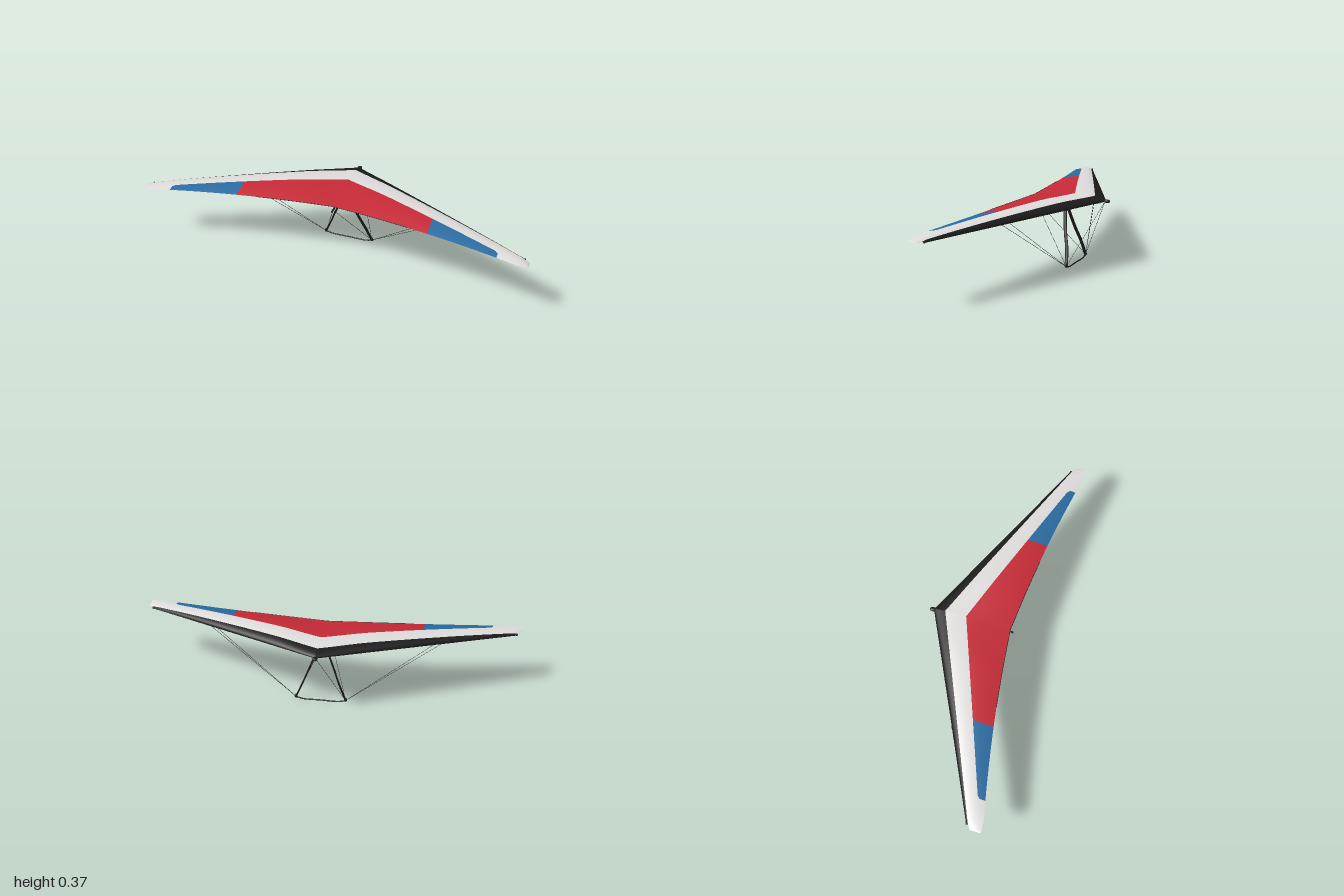
import * as THREE from 'three';

const mat = (name, color) => Object.assign(
  new THREE.MeshStandardMaterial({ color, side: THREE.DoubleSide }), { name });
const V = (x, y, z) => new THREE.Vector3(x, y, z);
const { lerp, smoothstep, clamp } = THREE.MathUtils;

// Planform: leading and trailing edge for a station a = |x|
const leadZ = a => -0.26 + 0.475 * a + 0.01 * smoothstep(a, 0.95, 1);
const trailZ = a => Math.min(0.279, 0.14 + 0.08 * a + 0.07 * a * a);
const leadY = a => 0.34 - 0.028 * a;
const trailY = a => 0.343 - 0.022 * a * a;
const chordAt = (a, z) => clamp((z - leadZ(a)) / (trailZ(a) - leadZ(a)), 0, 1);

// Point on the sail at span x and chord fraction t
function sailPoint(x, t, top) {
  const a = Math.abs(x);
  const fade = Math.sqrt(Math.max(0, 1 - a ** 24));
  const arch = 2.6 * Math.sqrt(t) * (1 - t);
  const base = lerp(leadY(a), trailY(a), t);
  const rise = (0.027 + 0.008 * smoothstep(a, 0, 0.25)) * (1 - 0.8 * a * a) * arch * fade;
  const belly = (t / 0.22 * Math.exp(1 - t / 0.22)) ** 1.5;
  const drop = (0.018 * Math.exp(-a / 0.15) * belly + 0.005 * (1 - a) * arch) * fade;
  return [x, top ? base + rise : base - drop, lerp(leadZ(a), trailZ(a), t)];
}

// Sail panel between two stations and two chord lines t0(a), t1(a)
function panelGeometry(x0, x1, t0, t1, top, nx = 28, nt = 14) {
  const pos = [], idx = [];
  for (let i = 0; i <= nx; i++) {
    const x = lerp(x0, x1, i / nx), a = Math.abs(x);
    for (let j = 0; j <= nt; j++) {
      const start = t0(a), u = start === 0 ? (j / nt) ** 2 : j / nt;
      pos.push(...sailPoint(x, lerp(start, t1(a), u), top));
      if (i < nx && j < nt) {
        const p = i * (nt + 1) + j, q = p + nt + 1;
        if (top) idx.push(p, p + 1, q, q, p + 1, q + 1);
        else idx.push(p, q, p + 1, q, q + 1, p + 1);
      }
    }
  }
  const g = new THREE.BufferGeometry();
  g.setAttribute('position', new THREE.Float32BufferAttribute(pos, 3));
  g.setIndex(idx);
  g.computeVertexNormals();
  return g;
}

export function createModel() {
  const black = mat('black', 0x1c1c1d), white = mat('sail white', 0xe0dedc);
  const red = mat('sail red', 0xc62a36), blue = mat('sail blue', 0x2a6ba2);
  const model = new THREE.Group();
  model.name = 'hangGlider';

  const add = (name, geo, material, parent) => {
    const m = new THREE.Mesh(geo, material);
    m.name = name;
    parent.add(m);
    return m;
  };
  const section = name => {
    const g = new THREE.Group();
    g.name = name;
    model.add(g);
    return g;
  };
  const rod = (name, a, b, r, parent, sides = 8) =>
    add(name, new THREE.TubeGeometry(new THREE.LineCurve3(a, b), 1, r, sides), black, parent);
  const ball = (name, p, rx, ry, rz, parent) => {
    const m = add(name, new THREE.SphereGeometry(1, 16, 12), black, parent);
    m.position.copy(p);
    m.scale.set(rx, ry, rz);
  };

  // Colour boundaries across the chord
  const zero = () => 0, one = () => 1;
  const bandEdge = a => chordAt(a, -0.2 + 0.42 * a);
  const colourEdge = a => {
    const d = clamp((a - 0.835) / 0.015, 0, 1);
    return chordAt(a, -0.09 + 0.367 * a + 0.008 * (1 - Math.sqrt(1 - d * d)));
  };
  const lowerEdge = a => {
    const k = clamp((a - 0.47) / 0.09, 0, 1);
    return lerp(colourEdge(a), 1, 1 - Math.sqrt(1 - k * k));
  };

  // Sail, both wings
  const sail = section('sail');
  for (const s of [1, -1]) {
    const panel = (name, a, b, t0, t1, top, material) => add(name,
      panelGeometry(s > 0 ? a : -b, s > 0 ? b : -a, t0, t1, top), material, sail);
    panel('leadingBand', 0, 0.985, zero, bandEdge, true, black);
    panel('upperSail', 0, 0.85, bandEdge, colourEdge, true, white);
    panel('upperTip', 0.85, 0.985, bandEdge, one, true, white);
    panel('upperTipEnd', 0.985, 1, zero, one, true, white);
    panel('upperCentrePanel', 0, 0.5, colourEdge, one, true, red);
    panel('upperOuterPanel', 0.5, 0.85, colourEdge, one, true, blue);
    panel('lowerSail', 0, 0.56, zero, lowerEdge, false, white);
    panel('lowerCentrePanel', 0, 0.56, lowerEdge, one, false, red);
    panel('lowerOuterSail', 0.56, 0.855, zero, one, false, white);
    panel('lowerTip', 0.855, 1, zero, one, false, black);
  }

  // Thin hem along the middle of the trailing edge
  const hem = [];
  for (let i = -8; i <= 8; i++) hem.push(V(...sailPoint(i * 0.05, 1, true)));
  add('trailingHem', new THREE.TubeGeometry(new THREE.CatmullRomCurve3(hem), 48, 0.0016, 6),
    black, sail);

  // Airframe: keel, nose and leading edge tubes
  const frame = section('airframe');
  const keelEnd = V(0, 0.321, 0.153), nose = V(0, 0.34, -0.264);
  rod('keel', nose, keelEnd, 0.0045, frame, 12);
  ball('keelCap', keelEnd, 0.006, 0.006, 0.004, frame);
  ball('noseCone', nose, 0.012, 0.009, 0.017, frame);
  for (const s of [1, -1]) {
    const tip = V(s * 0.973, 0.311, 0.203);
    rod('leadingEdgeTube', V(0, 0.34, -0.254), tip, 0.003, frame, 10);
    ball('leadingEdgeCap', tip, 0.006, 0.005, 0.006, frame);
  }

  // Control frame: flattened uprights and a base bar
  const control = section('controlFrame');
  for (const s of [1, -1]) {
    const path = new THREE.CatmullRomCurve3([
      V(0, 0.33, -0.038), V(s * 0.033, 0.25, -0.05), V(s * 0.065, 0.17, -0.066),
      V(s * 0.093, 0.1, -0.085), V(s * 0.13, 0.014, -0.098)]);
    const seg = 24, sides = 10;
    const geo = new THREE.TubeGeometry(path, seg, 0.009, sides);
    const p = geo.attributes.position;
    for (let i = 0; i < p.count; i++) {
      const c = path.getPointAt(Math.floor(i / (sides + 1)) / seg);
      p.setX(i, c.x + (p.getX(i) - c.x) * 0.42);
    }
    geo.computeVertexNormals();
    add('upright', geo, black, control);
    ball('cornerFitting', V(s * 0.13, 0.018, -0.098), 0.008, 0.011, 0.006, control);
  }
  const bar = new THREE.CatmullRomCurve3([
    V(-0.13, 0.014, -0.098), V(-0.095, 0.005, -0.099), V(0, 0.005, -0.099),
    V(0.095, 0.005, -0.099), V(0.13, 0.014, -0.098)]);
  add('baseBar', new THREE.TubeGeometry(bar, 32, 0.0035, 10), black, control);
  ball('apexFitting', V(0, 0.327, -0.038), 0.007, 0.008, 0.008, control);
  const loop = add('hangLoop', new THREE.TorusGeometry(0.008, 0.0016, 6, 16), red, control);
  loop.position.set(0, 0.319, -0.032);

  // Rigging wires from each corner
  const rigging = section('rigging');
  for (const s of [1, -1]) {
    const corner = V(s * 0.13, 0.014, -0.098);
    const ends = {
      frontWire: V(0, 0.337, -0.253), rearWire: V(0, 0.32, 0.135),
      sideWire: V(s * 0.6, 0.324, 0.024), innerSideWire: V(s * 0.56, 0.325, 0.004),
    };
    for (const [name, end] of Object.entries(ends)) rod(name, corner, end, 0.0009, rigging, 6);
  }
  return model;
}
